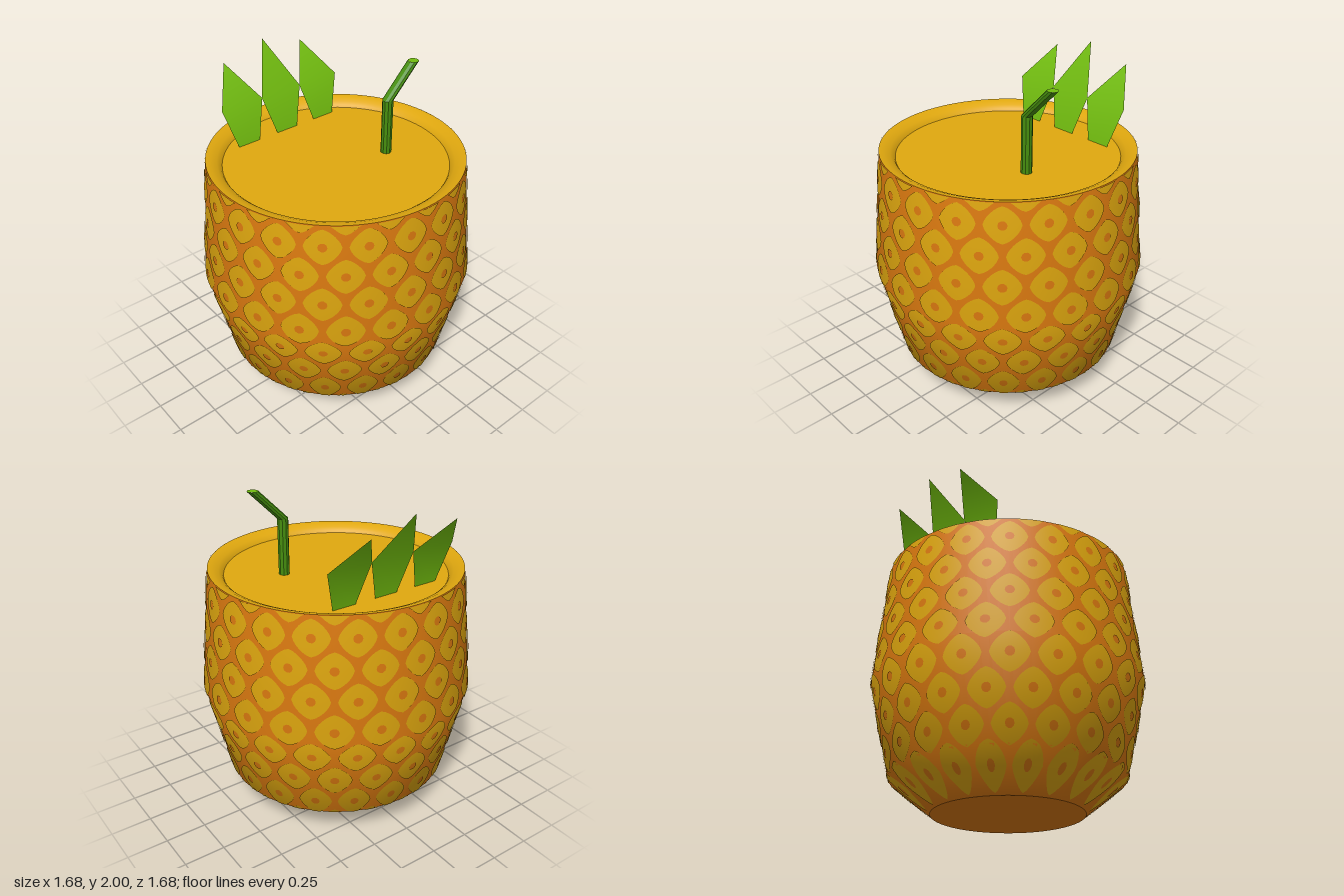
import * as THREE from 'three';

const mat = (name, color, side = THREE.FrontSide) => {
  const m = new THREE.MeshStandardMaterial({ color, side });
  m.name = name;
  return m;
};

// Cup wall profile: radius, height
const WALL = [[0.45, 0], [0.70, 0.2], [0.835, 0.77], [0.766, 1.52]];
const v2 = (p) => p.map(([x, y]) => new THREE.Vector2(x, y));

// Smooth wall normals at each profile knot (radial, vertical)
const segNormals = WALL.slice(1).map(([r, y], i) =>
  new THREE.Vector2(y - WALL[i][1], WALL[i][0] - r).normalize());
const knotNormals = WALL.map((_, i) =>
  segNormals[Math.max(0, i - 1)].clone().add(segNormals[Math.min(i, segNormals.length - 1)]).normalize());

function wallAt(y) {
  let k = 0;
  while (k < WALL.length - 2 && y > WALL[k + 1][1]) k++;
  const t = (y - WALL[k][1]) / (WALL[k + 1][1] - WALL[k][1]);
  return {
    r: THREE.MathUtils.lerp(WALL[k][0], WALL[k + 1][0], t),
    n: knotNormals[k].clone().lerp(knotNormals[k + 1], t).normalize(),
  };
}

// Rounded diamonds wrapped on to the wall, all merged in one geometry
function wallPatches(centres, halfAngle, halfHeight, power, rings, sides, lift) {
  const pos = [], nor = [], idx = [];
  for (const [a0, y0] of centres) {
    const base = pos.length / 3;
    for (let j = 0; j <= rings; j++) {
      for (let i = 0; i <= sides; i++) {
        const t = (i / sides) * Math.PI * 2, s = j / rings;
        const c = Math.cos(t), d = Math.sin(t);
        const k = s / Math.pow(Math.abs(c) ** power + Math.abs(d) ** power, 1 / power);
        const a = a0 + k * c * halfAngle;
        const y = THREE.MathUtils.clamp(y0 + k * d * halfHeight, 0.006, 1.517);
        const { r, n } = wallAt(y);
        pos.push(Math.sin(a) * (r + lift), y, Math.cos(a) * (r + lift));
        nor.push(Math.sin(a) * n.x, n.y, Math.cos(a) * n.x);
        if (j < rings && i < sides) {
          const p = base + j * (sides + 1) + i, q = p + sides + 1;
          idx.push(p, q, q + 1);
          if (j > 0) idx.push(p, q + 1, p + 1);
        }
      }
    }
  }
  const g = new THREE.BufferGeometry();
  g.setAttribute('position', new THREE.Float32BufferAttribute(pos, 3));
  g.setAttribute('normal', new THREE.Float32BufferAttribute(nor, 3));
  g.setIndex(idx);
  return g;
}

// Bent leaf plate: base edge, widest edge, pointed tip
function leafGeometry(tipY) {
  const g = new THREE.BufferGeometry();
  g.setAttribute('position', new THREE.Float32BufferAttribute([
    -0.075, 1.46, -0.478, 0.075, 1.46, -0.478,
    -0.145, 1.71, -0.53, 0.145, 1.71, -0.53,
    0, tipY, -0.705], 3));
  g.setIndex([0, 1, 3, 0, 3, 2, 2, 3, 4]);
  g.computeVertexNormals();
  return g;
}

export function createModel() {
  const group = new THREE.Group();
  const gold = mat('gold', 0xe0a80f);
  const orange = mat('orange', 0xdc7a10);
  const leafGreen = mat('leaf green', 0x72bd0f, THREE.DoubleSide);
  const strawGreen = mat('straw green', 0x468e0e);
  const add = (name, geometry, material) => {
    const m = new THREE.Mesh(geometry, material);
    m.name = name;
    group.add(m);
    return m;
  };

  // Cup shell, underside, rounded lip and drink
  add('cupWall', new THREE.LatheGeometry(v2(WALL), 96), orange);
  add('cupBase', new THREE.CircleGeometry(0.45, 96).rotateX(Math.PI / 2), orange);
  add('cupRim', new THREE.LatheGeometry(
    v2([[0.766, 1.52], [0.735, 1.516], [0.70, 1.50], [0.68, 1.483], [0.67, 1.465]]), 96), gold);
  add('drink', new THREE.CircleGeometry(0.672, 96).rotateX(-Math.PI / 2).translate(0, 1.468, 0), gold);

  // Staggered rows of skin scales with a spot in each
  const COUNT = 20, PITCH = 0.182, scales = [], spots = [];
  for (let row = 0; row < 9; row++) {
    const y = 0.117 + row * PITCH;
    for (let i = 0; i < COUNT; i++) {
      const a = ((i + (row % 2) / 2) / COUNT) * Math.PI * 2;
      scales.push([a, y]);
      if (row < 8) spots.push([a, y]);
    }
  }
  add('skinScales', wallPatches(scales, 0.134, 0.108, 1.45, 4, 24, 0.005), gold);
  add('skinSpots', wallPatches(spots, 0.034, 0.027, 2, 1, 10, 0.009), orange);

  // Three leaves along the back of the rim
  for (const [i, tip] of [[-1, 1.92], [0, 2], [1, 1.92]]) {
    add(['rightLeaf', 'middleLeaf', 'leftLeaf'][i + 1], leafGeometry(tip), leafGreen)
      .position.x = i * 0.288;
  }

  // Bent straw: the upper ring is shifted sideways, its end stays level
  const BEND = 1.81, TOP = 2, BOTTOM = 1.46;
  let straw = new THREE.CylinderGeometry(0.033, 0.033, 2, 10, 2, true);
  const p = straw.attributes.position;
  for (let i = 0; i < p.count; i++) {
    const h = p.getY(i);
    if (h > 0.5) p.setX(i, p.getX(i) + 0.19);
    p.setY(i, h > 0.5 ? TOP : h < -0.5 ? BOTTOM : BEND);
  }
  straw = straw.toNonIndexed();
  straw.computeVertexNormals();
  add('straw', straw, strawGreen).position.set(0.288, 0, 0.125);
  add('strawEnd', new THREE.CircleGeometry(0.033, 10).rotateX(-Math.PI / 2), leafGreen)
    .position.set(0.478, TOP, 0.125);

  return group;
}
